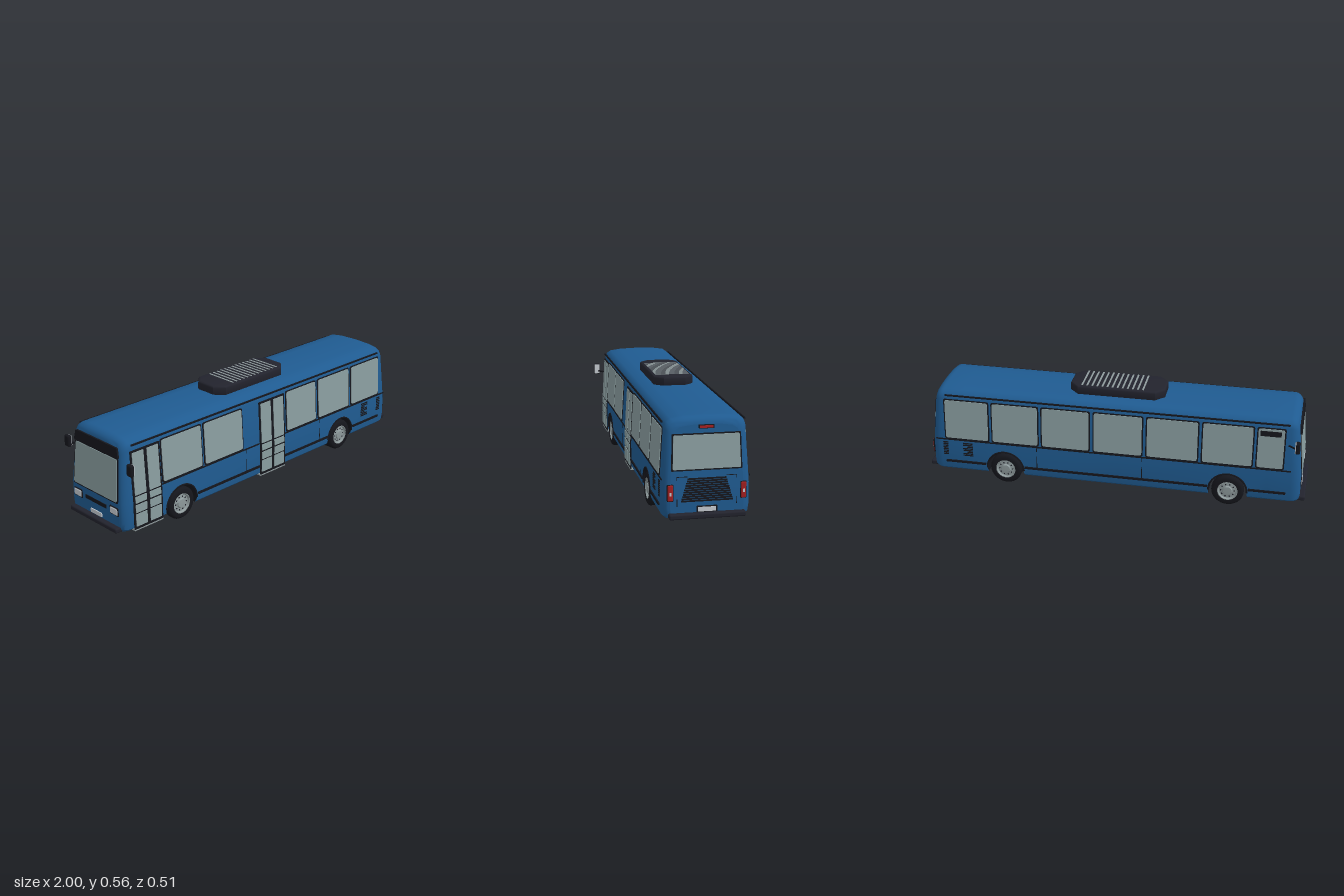
import * as THREE from 'three';
import { toCreasedNormals } from 'three/addons/utils/BufferGeometryUtils.js';
import { RoundedBoxGeometry } from 'three/addons/geometries/RoundedBoxGeometry.js';

const mat = (name, color, extra = {}) => {
  const m = new THREE.MeshStandardMaterial({ color, ...extra });
  m.name = name;
  return m;
};
const END = 0.972, LEAN = 0.09, ARCH_R = 0.1, ARCH_Y = 0.085, WHEELS = [-0.605, 0.575];

// Outer surface of the side walls and of the leaning end walls at height y
const sideZ = y => 0.205 - 0.0604 * Math.max(0, y - 0.2);
const endX = y => END - LEAN * Math.max(0, y - 0.2);

// Grid surface through rows of points
function loft(rows, crease = 0.6) {
  const n = rows[0].length, index = [];
  for (let i = 0; i < rows.length - 1; i++) for (let j = 0; j < n - 1; j++) {
    const a = i * n + j, b = a + n;
    index.push(a, b, b + 1, a, b + 1, a + 1);
  }
  const g = new THREE.BufferGeometry();
  g.setAttribute('position', new THREE.Float32BufferAttribute(rows.flat(2), 3));
  g.setIndex(index);
  return toCreasedNormals(g, crease);
}

export function createModel() {
  const bus = new THREE.Group();
  bus.name = 'cityBus';
  const blue = mat('blue paint', 0x1f5b91);
  const black = mat('black trim', 0x15161c);
  const charcoal = mat('charcoal plastic', 0x22232d);
  const glass = mat('window glass', 0x8a9ea0);
  const silver = mat('wheel silver', 0x8d999b);
  const red = mat('red lamp', 0xa31f20);
  const white = mat('white', 0xc6ccd2);

  const add = (name, geo, m, x = 0, y = 0, z = 0, parent = bus) => {
    const mesh = new THREE.Mesh(geo, m);
    mesh.name = name;
    mesh.position.set(x, y, z);
    parent.add(mesh);
    return mesh;
  };

  // Body shell: cross-sections along x, raised over the wheels, rounded at the ends
  const half = [[0.185, 0.05], [0.2, 0.063], [0.205, 0.1], [0.205, 0.2], [0.189, 0.465],
    [0.185, 0.48], [0.177, 0.493], [0.157, 0.506], [0.1, 0.514], [0, 0.517]];
  const section = (x, inset = 0) => {
    let floor = 0;
    for (const w of WHEELS) {
      const d = Math.abs(x - w);
      if (d <= ARCH_R + 1e-6) floor = ARCH_Y + Math.sqrt(Math.max(0, ARCH_R ** 2 - d * d));
    }
    const weight = Math.max(0, (Math.abs(x) - 0.8) / (END - 0.8));
    const pts = half.map(([z, y]) => {
      const yy = y > 0.46 ? y - inset : y < 0.1 ? y + inset * 0.35 : y;
      const lean = LEAN * Math.max(0, yy - 0.2) * weight;
      return [x - Math.sign(x) * lean, Math.max(yy, floor), Math.max(0, (y < floor ? 0.205 : z) - inset)];
    });
    return [...pts, ...pts.slice(0, -1).reverse().map(([a, b, c]) => [a, b, -c])];
  };
  const ends = [];
  for (let i = 0; i <= 6; i++) {
    const a = i / 6 * Math.PI / 2;
    ends.push([END - 0.05 * (1 - Math.sin(a)), 0.035 * (1 - Math.cos(Math.PI / 2 - (Math.PI / 2 - a)))]);
  }
  const arch = w => Array.from({ length: 21 }, (_, i) => section(w - ARCH_R * Math.cos(i / 20 * Math.PI)));
  const gap = ARCH_R + 0.0005;
  const front = [...ends].reverse().map(([x, k]) => section(-x, k)).concat([section(-0.8), section(WHEELS[0] - gap)]);
  const middle = [section(WHEELS[0] + gap), section(0), section(WHEELS[1] - gap)];
  const rear = [section(WHEELS[1] + gap), section(0.8), ...ends.map(([x, k]) => section(x, k))];
  const arches = WHEELS.map(arch);
  add('bodyShell', loft([...front, ...arches[0], ...middle, ...arches[1], ...rear]), blue);
  const under = r => [r[r.length - 1], r[0]];
  [front, middle, rear].forEach(rows => add('floor', loft(rows.map(under)), blue));
  arches.forEach((rows, i) => {
    const before = [front, middle][i].at(-1), after = [middle, rear][i][0];
    add('wheelWell', loft([before, ...rows, after].map(under)), black);
  });
  for (const s of [1, -1]) {
    const r = section(s * END, 0.035), n = half.length;
    const rows = half.map((_, i) => s > 0 ? [r[2 * n - 2 - i], r[i]] : [r[i], r[2 * n - 2 - i]]);
    add('endWall', loft(rows), blue);
  }

  // Thin plate that follows one wall; taper narrows its top edge on each side
  const turn = { left: 0, right: Math.PI, rear: Math.PI / 2, front: -Math.PI / 2 };
  const plate = (name, wall, m, u0, u1, y0, y1, { lift = 0, t = 0.003, r = 0.003, taper = 0 } = {}) => {
    if (wall === 'right') [u0, u1] = [-u1, -u0];
    const s = new THREE.Shape();
    s.moveTo(u0 + r, y0); s.lineTo(u1 - r, y0); s.quadraticCurveTo(u1, y0, u1, y0 + r);
    s.lineTo(u1 - taper, y1 - r); s.quadraticCurveTo(u1 - taper, y1, u1 - taper - r, y1);
    s.lineTo(u0 + taper + r, y1); s.quadraticCurveTo(u0 + taper, y1, u0 + taper, y1 - r);
    s.lineTo(u0, y0 + r); s.quadraticCurveTo(u0, y0, u0 + r, y0);
    const g = new THREE.ExtrudeGeometry(s, { depth: t, bevelEnabled: false, curveSegments: 4 });
    const p = g.attributes.position;
    const base = wall === 'left' || wall === 'right' ? sideZ : endX;
    for (let i = 0; i < p.count; i++) p.setZ(i, p.getZ(i) + base(p.getY(i)) + lift);
    g.computeVertexNormals();
    return add(name, g.rotateY(turn[wall]), m);
  };
  const pane = (name, wall, u0, u1, y0, y1, o = {}) => {
    plate(name + 'Frame', wall, black, u0 - 0.007, u1 + 0.007, y0 - 0.007, y1 + 0.006, { r: 0.012, ...o });
    plate(name, wall, glass, u0, u1, y0, y1, { r: 0.012, t: 0.006, ...o });
  };

  // Side windows
  [[-0.72, -0.468], [-0.445, -0.188], [0.142, 0.365], [0.39, 0.637], [0.662, 0.893]]
    .forEach(([a, b]) => pane('sideWindow', 'left', a, b, 0.245, 0.458));
  [[-0.876, -0.745], [-0.72, -0.468], [-0.442, -0.182], [-0.155, 0.095], [0.122, 0.37], [0.395, 0.637], [0.662, 0.893]]
    .forEach(([a, b]) => pane('sideWindow', 'right', a, b, 0.245, 0.458));
  plate('driverVent', 'right', black, -0.86, -0.755, 0.42, 0.447, { lift: 0.006 });

  // Doors: two leaves, each with an upper, middle and lower pane
  for (const [a, b] of [[-0.91, -0.732], [-0.062, 0.124]]) {
    plate('doorFrame', 'left', black, a, b, 0.055, 0.2, { t: 0.004 });
    plate('doorFrame', 'left', black, a, b, 0.2, 0.458, { t: 0.004 });
    const mid = (a + b) / 2;
    for (const [l, r] of [[a + 0.01, mid - 0.01], [mid + 0.01, b - 0.01]])
      for (const [y0, y1] of [[0.07, 0.135], [0.142, 0.183], [0.192, 0.225], [0.233, 0.448]])
        plate('doorGlass', 'left', glass, l, r, y0, y1, { t: 0.007 });
    add('doorStep', new THREE.BoxGeometry(b - a, 0.006, 0.03), silver, mid, 0.052, 0.195);
  }

  // Trim lines and side louvres
  for (const wall of ['left', 'right']) {
    plate('gutter', wall, black, -0.9, 0.89, 0.482, 0.49, { lift: 0.001, t: 0.006 });
    const belts = wall === 'left' ? [[-0.73, -0.065], [0.125, 0.95]] : [[-0.92, 0.95]];
    belts.forEach(([a, b]) => plate('beltLine', wall, black, a, b, 0.23, 0.237));
    const rubs = wall === 'left' ? [[-0.5, -0.065], [0.125, 0.47], [0.68, 0.9]] : [[-0.9, -0.71], [-0.5, 0.47], [0.68, 0.9]];
    rubs.forEach(([a, b]) => plate('rubStrip', wall, black, a, b, 0.1, 0.112, { t: 0.006 }));
    for (const x of [-0.16, 0.4]) plate('panelSeam', wall, black, x, x + 0.004, 0.112, 0.23, { t: 0.001, r: 0.001 });
    for (let i = 0; i < 8; i++) {
      const y = 0.143 + i * 0.01;
      plate('louvre', wall, black, 0.75, i % 3 === 2 ? 0.78 : 0.803, y, y + 0.006, { r: 0.001 });
      plate('louvre', wall, black, 0.885, 0.912, y, y + 0.006, { r: 0.001 });
    }
    // Lip around each wheel arch
    const z = wall === 'left' ? 0.204 : -0.204;
    for (const x of WHEELS) add('archLip', new THREE.TorusGeometry(ARCH_R, 0.005, 6, 28, Math.PI), black, x, ARCH_Y, z);
  }

  // Rear wall: window, brake lamp, engine grille, lamps, plate
  pane('rearWindow', 'rear', -0.157, 0.157, 0.28, 0.435, { taper: 0.005, r: 0.005 });
  plate('brakeLampFrame', 'rear', black, -0.036, 0.036, 0.462, 0.479, { t: 0.007 });
  plate('brakeLamp', 'rear', red, -0.031, 0.031, 0.465, 0.476, { t: 0.009 });
  for (let i = 0; i < 11; i++) {
    const w = 0.12 - i * 0.003, y = 0.13 + i * 0.0102;
    plate('grilleBar', 'rear', black, -w, w, y, y + 0.007, { r: 0.001, t: 0.005 });
  }
  for (const s of [1, -1]) {
    plate('engineSeam', 'rear', black, s * 0.138 - 0.0015, s * 0.138 + 0.0015, 0.11, 0.247, { r: 0.001, t: 0.001 });
    plate('engineSeamTop', 'rear', black, s * 0.114 - 0.024, s * 0.114 + 0.024, 0.244, 0.247, { r: 0.001, t: 0.001 });
    add('tailLampBase', new RoundedBoxGeometry(0.034, 0.08, 0.03, 2, 0.005), black, 0.959, 0.174, s * 0.169);
    add('tailLamp', new RoundedBoxGeometry(0.036, 0.075, 0.025, 2, 0.005), red, 0.961, 0.174, s * 0.169);
    add('reverseLamp', new THREE.BoxGeometry(0.004, 0.015, 0.009), white, 0.979, 0.171, s * 0.169);
  }
  plate('plateFrame', 'rear', black, -0.048, 0.048, 0.079, 0.109, { t: 0.004 });
  plate('plate', 'rear', white, -0.042, 0.042, 0.083, 0.104, { t: 0.006 });

  // Front wall: windscreen, sign box, headlamps
  pane('windscreen', 'front', -0.163, 0.163, 0.207, 0.42, { taper: 0.006 });
  plate('signBox', 'front', black, -0.165, 0.165, 0.425, 0.478, { t: 0.009, taper: 0.008, r: 0.01 });
  plate('frontPlate', 'front', white, -0.042, 0.042, 0.085, 0.106, { t: 0.005 });
  plate('frontGrille', 'front', black, -0.08, 0.08, 0.145, 0.165, { t: 0.003 });
  for (const s of [1, -1]) {
    add('headlampBase', new RoundedBoxGeometry(0.034, 0.046, 0.066, 2, 0.006), black, -0.959, 0.155, s * 0.138);
    add('headlamp', new RoundedBoxGeometry(0.036, 0.036, 0.056, 2, 0.006), white, -0.961, 0.155, s * 0.138);
  }
  for (const s of [1, -1])
    add('bumper', new RoundedBoxGeometry(0.06, 0.025, 0.356, 3, 0.008), charcoal, s * 0.97, 0.067, 0);

  // Roof unit: chamfered plan with a slatted top
  const plan = new THREE.Shape([[-0.24, -0.05], [-0.2, -0.09], [0.195, -0.09], [0.235, -0.05],
    [0.235, 0.05], [0.195, 0.09], [-0.2, 0.09], [-0.24, 0.05]].map(([x, y]) => new THREE.Vector2(x, y)));
  const unit = new THREE.ExtrudeGeometry(plan, { depth: 0.028, bevelSize: 0.011, bevelThickness: 0.012, bevelSegments: 4 });
  add('roofUnit', toCreasedNormals(unit.rotateX(-Math.PI / 2), 0.6), charcoal, 0, 0.521, 0);
  for (let i = 0; i < 13; i++)
    add('roofSlat', new THREE.BoxGeometry(0.009, 0.004, 0.176), silver, -0.14 + i * 0.0265, 0.5605, 0);

  // Mirrors on short arms
  for (const s of [1, -1]) {
    const path = new THREE.CatmullRomCurve3([[-0.9, 0.375, s * 0.195], [-0.92, 0.378, s * 0.215], [-0.942, 0.378, s * 0.235]]
      .map(p => new THREE.Vector3(...p)));
    add('mirrorArm', new THREE.TubeGeometry(path, 8, 0.005, 6), black);
    add('mirrorHousing', new RoundedBoxGeometry(0.024, 0.06, 0.036, 3, 0.009), black, -0.945, 0.39, s * 0.237);
    add('mirrorFace', new RoundedBoxGeometry(0.008, 0.054, 0.031, 2, 0.004), white, -0.935, 0.39, s * 0.237);
  }

  // Wheels: tyre, dished rim and bolts; doubled at the rear
  const tyreProfile = [[0.05, -0.021], [0.07, -0.023], [0.079, -0.018], [0.084, -0.01], [0.084, 0.01],
    [0.079, 0.018], [0.07, 0.023], [0.05, 0.021], [0.048, 0], [0.05, -0.021]].map(p => new THREE.Vector2(...p));
  const tyre = toCreasedNormals(new THREE.LatheGeometry(tyreProfile, 36).rotateX(Math.PI / 2), 0.7);
  const rimProfile = [[0.054, 0.021], [0.049, 0.022], [0.044, 0.012], [0.026, 0.014], [0.022, 0.021], [0, 0.022]]
    .map(p => new THREE.Vector2(...p));
  const rim = toCreasedNormals(new THREE.LatheGeometry(rimProfile, 28).rotateX(Math.PI / 2), 0.5);
  silver.side = THREE.DoubleSide;
  WHEELS.forEach((x, k) => {
    for (const s of [1, -1]) {
      const wheel = new THREE.Group();
      wheel.name = k ? 'rearWheel' : 'frontWheel';
      wheel.position.set(x, 0.084, s * 0.182);
      if (s < 0) wheel.rotation.y = Math.PI;
      bus.add(wheel);
      add('tyre', tyre, black, 0, 0, 0, wheel);
      if (k) add('innerTyre', tyre, black, 0, 0, -0.046, wheel);
      add('rim', rim, silver, 0, 0, 0, wheel);
      for (let i = 0; i < 10; i++) {
        const a = i / 10 * Math.PI * 2;
        add('rimHole', new THREE.CylinderGeometry(0.004, 0.004, 0.004, 8).rotateX(Math.PI / 2), charcoal,
          0.035 * Math.cos(a), 0.035 * Math.sin(a), 0.0125, wheel);
      }
    }
    add('axle', new THREE.CylinderGeometry(0.018, 0.018, 0.34, 12).rotateX(Math.PI / 2), charcoal, x, 0.084, 0);
  });
  return bus;
}
